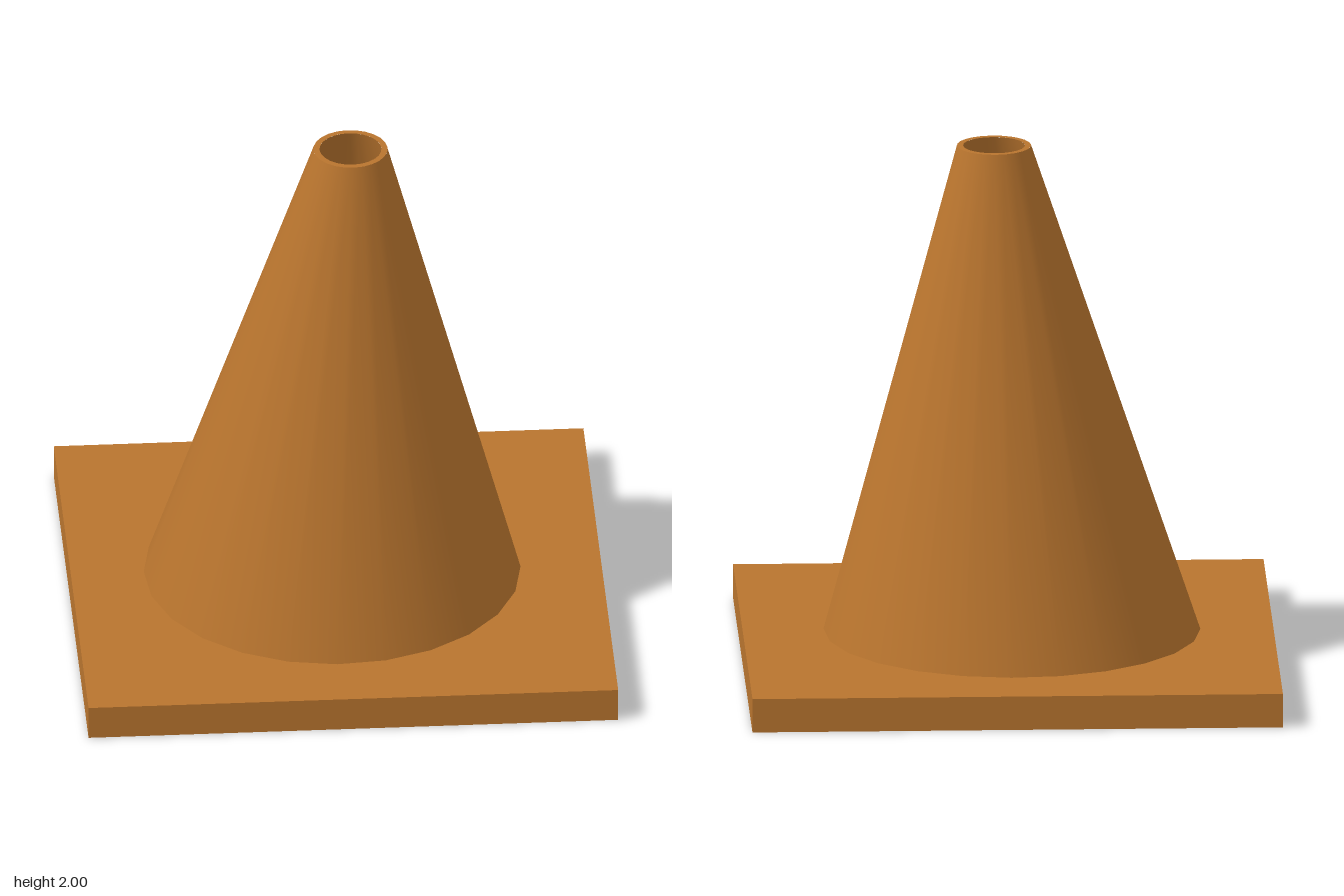
import * as THREE from 'three';

const SIDES = 24;
const START = -0.04;
const BASE_H = 0.13;
const TOP = 2;

export function createModel() {
  const group = new THREE.Group();
  const orange = new THREE.MeshStandardMaterial({ color: 0xb8742e });
  const orangeThin = new THREE.MeshStandardMaterial({ color: 0xb8742e, side: THREE.DoubleSide });
  const grey = new THREE.MeshStandardMaterial({ color: 0xcccccc, side: THREE.DoubleSide });

  const add = (name, geometry, material) => {
    const mesh = new THREE.Mesh(geometry, material);
    mesh.name = name;
    group.add(mesh);
    return mesh;
  };

  // Lean a geometry so its axis runs from the base centre to the offset tip
  const lean = (geometry) => {
    const p = geometry.attributes.position;
    for (let i = 0; i < p.count; i++) {
      const t = (p.getY(i) - BASE_H) / (TOP - BASE_H);
      p.setX(i, p.getX(i) - 0.015 + 0.065 * t);
      p.setZ(i, p.getZ(i) + 0.005 + 0.065 * t);
    }
    geometry.computeBoundingSphere();
    return geometry;
  };

  // Open conical wall between the slab and the tip
  const wall = (rTop, rBottom) => lean(
    new THREE.CylinderGeometry(rTop, rBottom, TOP - BASE_H, SIDES, 1, true, START)
      .translate(0, (TOP + BASE_H) / 2, 0));

  // Square slab with a round opening
  const outline = new THREE.Shape([
    new THREE.Vector2(-1, -0.977), new THREE.Vector2(1, -0.977),
    new THREE.Vector2(1, 0.977), new THREE.Vector2(-1, 0.977),
  ]);
  outline.holes.push(new THREE.Path().absarc(-0.01, 0, 0.675, 0, Math.PI * 2, true));
  add('baseSlab', new THREE.ExtrudeGeometry(outline,
    { depth: BASE_H, bevelEnabled: false, curveSegments: SIDES }).rotateX(-Math.PI / 2), orange);

  // Outer and inner cone walls
  add('coneOuterWall', wall(0.14, 0.71), orange);
  add('coneInnerWall', wall(0.117, 0.675), orangeThin);

  // Flat rim round the top opening
  add('coneRim', lean(new THREE.RingGeometry(0.117, 0.14, SIDES, 1, Math.PI / 2 - START - Math.PI * 2)
    .rotateX(-Math.PI / 2).translate(0, TOP, 0)), orange);

  // Floor closing the opening: orange below, grey above, with a thin grey edge
  const disc = (y) => new THREE.CircleGeometry(0.675, SIDES).rotateX(-Math.PI / 2).translate(-0.01, y, 0);
  add('floorUnderside', disc(0.01), orangeThin);
  add('floorInside', disc(0.02), grey);
  add('floorEdge', new THREE.CylinderGeometry(0.674, 0.674, 0.01, SIDES, 1, true, Math.PI / 2)
    .translate(-0.01, 0.005, 0), grey);

  return group;
}
